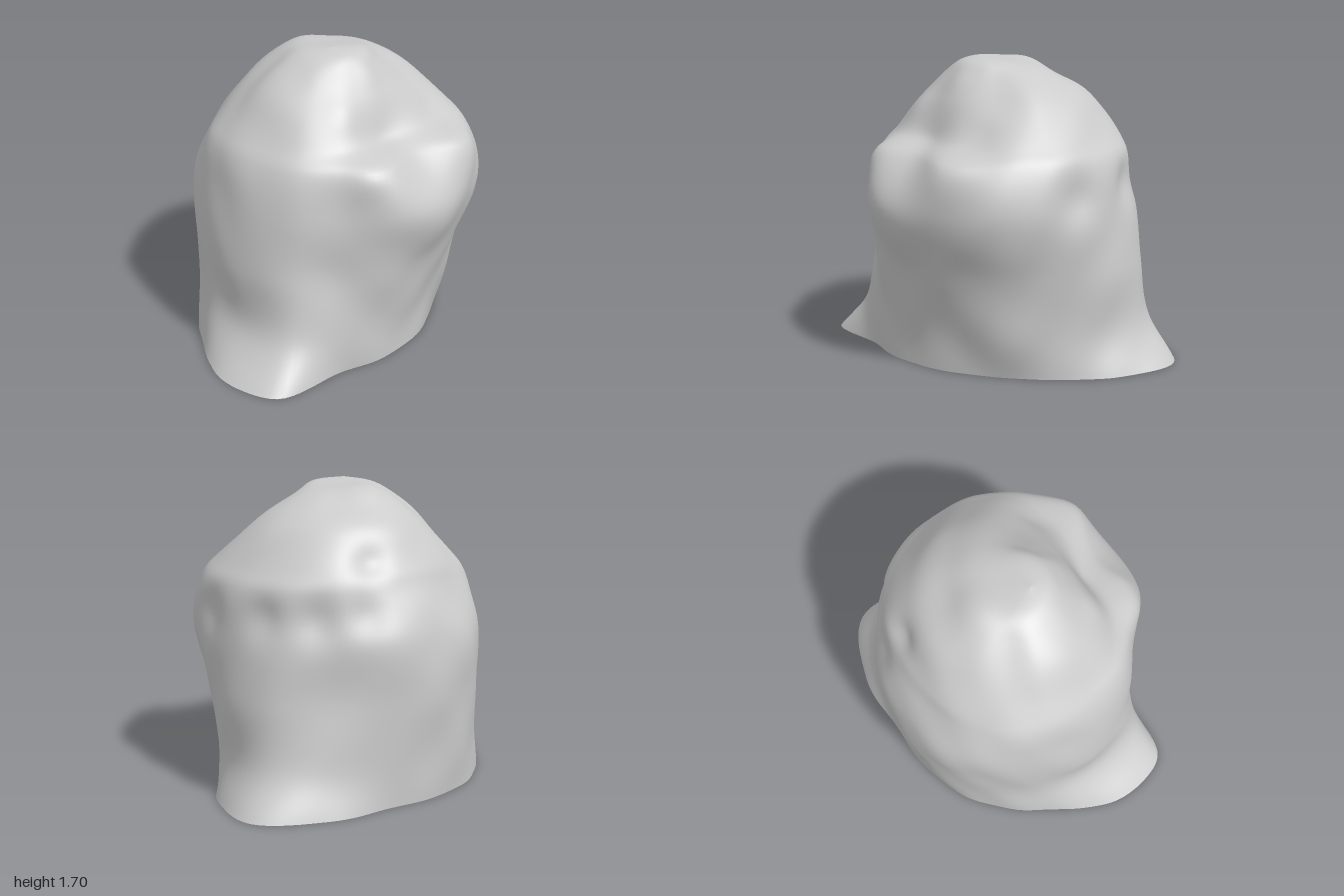
import * as THREE from 'three';

// Each row: height, then 16 radii going round from +x through +z.
const ROWS = [
  [0.02, [.59, .62, .69, 1.01, .96, .83, .77, .76, .74, .77, .93, 1.07, .92, .73, .63, .59]],
  [0.25, [.61, .64, .70, .81, .77, .76, .76, .77, .76, .77, .85, .92, .84, .75, .69, .62]],
  [0.60, [.70, .70, .69, .75, .76, .75, .77, .79, .79, .79, .80, .87, .85, .80, .76, .72]],
  [0.95, [.80, .77, .69, .72, .72, .73, .76, .78, .78, .79, .78, .83, .83, .85, .87, .82]],
  [1.20, [.62, .68, .64, .66, .65, .67, .68, .67, .67, .69, .74, .78, .79, .80, .79, .79]],
  [1.30, [.47, .49, .53, .58, .59, .61, .61, .62, .63, .65, .69, .71, .72, .72, .68, .56]],
  [1.50, [.36, .36, .39, .42, .44, .44, .43, .47, .50, .51, .54, .55, .55, .51, .42, .38]],
  [1.62, [.28, .27, .28, .30, .30, .30, .29, .32, .33, .34, .35, .37, .36, .33, .28, .27]],
];
// Dents (negative) and knobs (positive): x, y, z, reach, depth
const MARKS = [
  [-0.25, 1.06, -0.80, .12, -.04], [-0.50, 1.06, -0.62, .12, -.04],
  [-0.66, 1.08, -0.40, .11, -.03], [-0.58, 1.36, -0.30, .10, -.04],
  [0.20, 1.02, -0.80, .13, -.04], [0.47, 1.24, 0.12, .12, -.03],
  [0.53, 1.16, 0.33, .10, .03], [0.32, 1.42, 0.26, .11, .02],
  [0.42, 0.62, 0.52, .17, -.02], [0.45, 1.32, -0.36, .10, -.02],
  [-0.22, 1.68, -0.03, .13, .02],
].map(([x, y, z, reach, depth]) => ({ at: new THREE.Vector3(x, y, z), reach, depth }));
const AROUND = 128, UP = 80;

// Smooth unevenness over the surface
function lump(p) {
  let d = 0.006 * Math.sin(7 * p.x + 3 * p.y + 1) * Math.sin(8 * p.y - 5 * p.z)
    + 0.005 * Math.sin(13 * p.z + 6 * p.x) * Math.sin(11 * p.y + 9 * p.x + 2);
  for (const m of MARKS) d += m.depth * Math.exp(-p.distanceToSquared(m.at) / (m.reach * m.reach));
  return d;
}

function surface(positions, index) {
  const g = new THREE.BufferGeometry();
  g.setAttribute('position', new THREE.Float32BufferAttribute(positions, 3));
  g.setIndex(index);
  g.computeVertexNormals();
  return g;
}

export function createModel() {
  const group = new THREE.Group();
  group.name = 'boulder';
  const material = new THREE.MeshStandardMaterial({ color: 0xcccccc });

  // Vertical ribs from the flared foot to the rounded peak
  const ribs = ROWS[0][1].map((_, k) => {
    const a = k / 16 * Math.PI * 2, c = Math.cos(a), s = Math.sin(a);
    const pts = ROWS.map(([y, r]) => new THREE.Vector3(r[k] * c, y, r[k] * s));
    pts.push(new THREE.Vector3(0.01 + 0.19 * c, 1.69, 0.18 * s));
    pts.push(new THREE.Vector3(0.07, 1.715, 0.06));
    return new THREE.CatmullRomCurve3(pts);
  });

  // Closed rings through the ribs, pushed in and out from the vertical middle
  const pos = [], index = [], middle = new THREE.Vector3(0, 0.8, 0);
  for (let i = 0; i <= UP; i++) {
    const ring = new THREE.CatmullRomCurve3(ribs.map(r => r.getPoint(i / UP)), true);
    for (let j = 0; j < AROUND; j++) {
      const p = ring.getPoint(j / AROUND);
      const out = p.clone().sub(middle);
      if (p.y < 1.2) out.y = 0;
      else out.y *= Math.min(1, (p.y - 1.2) * 2.5);
      p.addScaledVector(out.normalize(), lump(p));
      pos.push(p.x, p.y, p.z);
      if (i === UP) continue;
      const a = i * AROUND + j, b = i * AROUND + (j + 1) % AROUND;
      index.push(a, a + AROUND, b, b, a + AROUND, b + AROUND);
    }
  }
  const rock = new THREE.Mesh(surface(pos, index), material);
  rock.name = 'rockBody';
  group.add(rock);

  // Flat underside
  const rim = pos.slice(0, AROUND * 3), fan = [];
  for (let j = 0; j < AROUND; j++) fan.push(AROUND, j, (j + 1) % AROUND);
  const base = new THREE.Mesh(surface([...rim, 0, 0.02, 0], fan), material);
  base.name = 'underside';
  group.add(base);
  return group;
}
